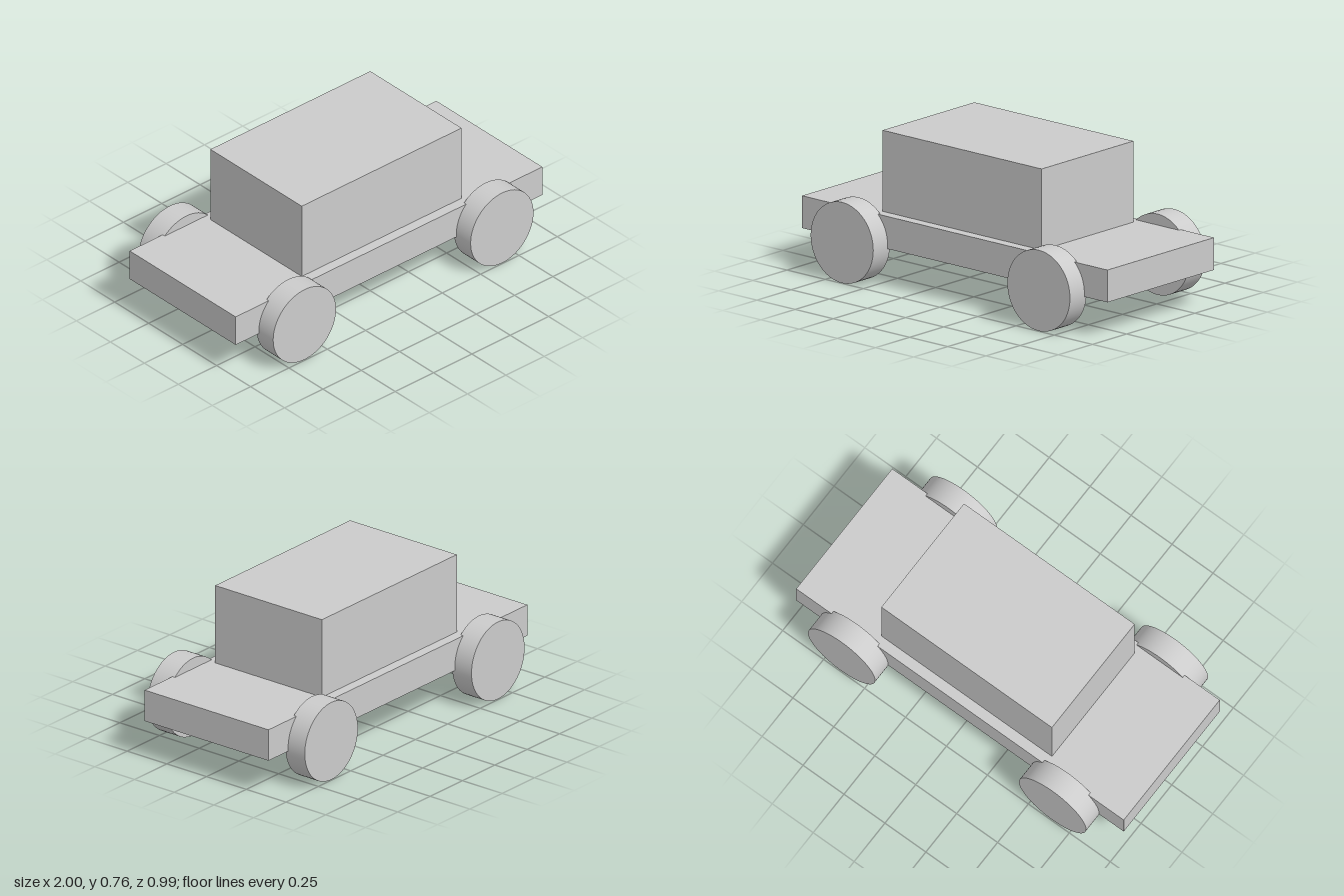
import * as THREE from 'three';

const material = new THREE.MeshStandardMaterial({ color: 0xcccccc });

function addPart(parent, name, geometry, x, y, z) {
  const mesh = new THREE.Mesh(geometry, material);
  mesh.name = name;
  mesh.position.set(x, y, z);
  parent.add(mesh);
  return mesh;
}

export function createModel() {
  const car = new THREE.Group();
  car.name = 'car';

  // Flat chassis slab with the cabin block standing on it
  const bottom = 0.19, deck = 0.354, roof = 0.765;
  addPart(car, 'chassis', new THREE.BoxGeometry(2, deck - bottom, 0.78), 0, (bottom + deck) / 2, 0);
  addPart(car, 'cabin', new THREE.BoxGeometry(1.042, roof - deck, 0.672), 0, (deck + roof) / 2, 0);

  // Four wheels, slightly sunk into the chassis sides
  const radius = 0.205, width = 0.121;
  const wheel = new THREE.CylinderGeometry(radius, radius, width, 64).rotateX(Math.PI / 2);
  for (const x of [-0.644, 0.644]) {
    for (const z of [-0.435, 0.435]) {
      const name = (x > 0 ? 'left' : 'right') + (z > 0 ? 'Front' : 'Back') + 'Wheel';
      addPart(car, name, wheel, x, radius, z);
    }
  }
  return car;
}
